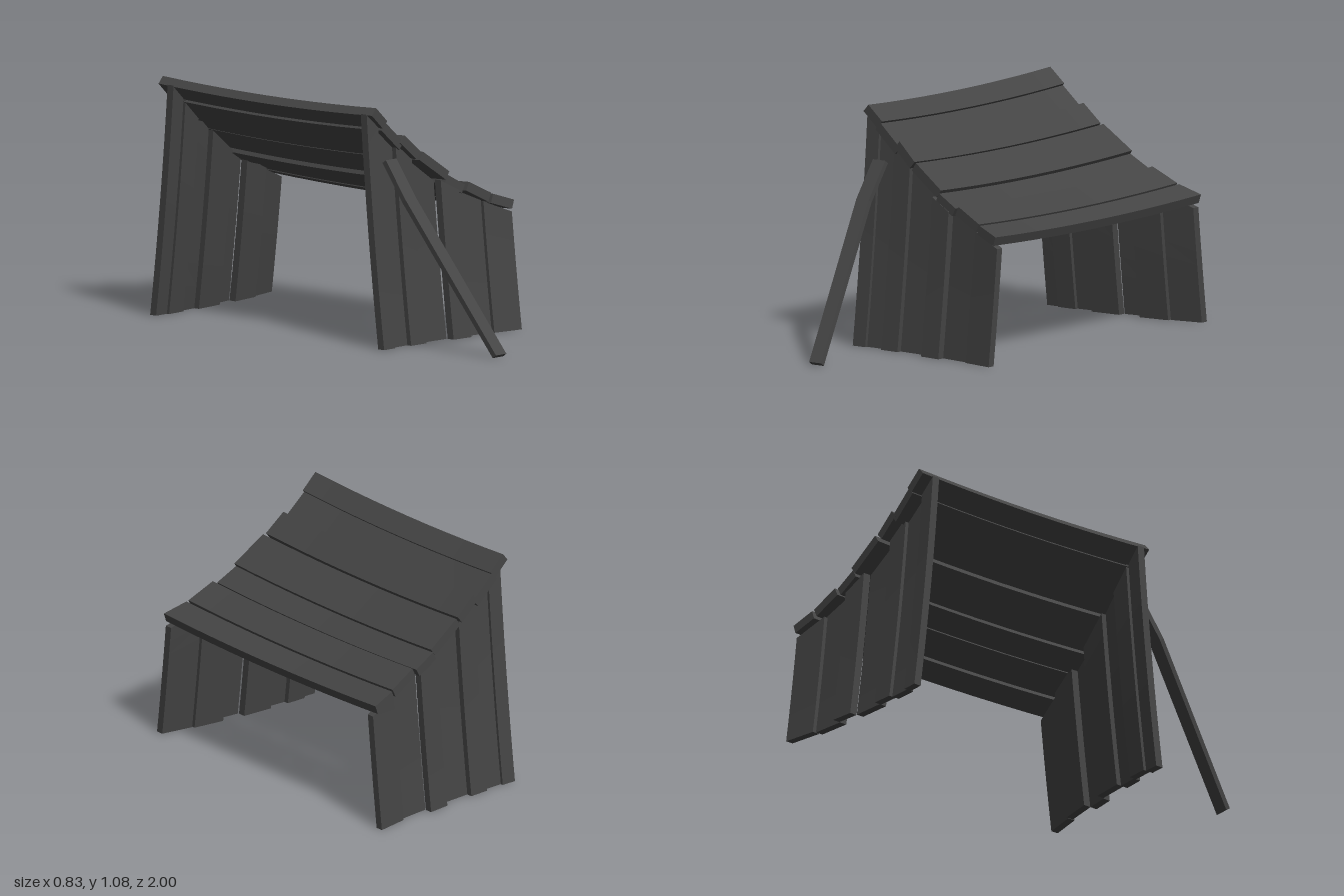
import * as THREE from 'three';

const wood = new THREE.MeshStandardMaterial({ color: 0x444444, flatShading: true });

// Closed plank from a row of four-cornered cross-sections
function plank(name, rings) {
  const tris = [];
  const quad = (a, b, c, d) => tris.push([a, b, c], [a, c, d]);
  for (let i = 0; i < rings.length - 1; i++) {
    for (let j = 0; j < 4; j++) {
      const k = (j + 1) % 4;
      quad(rings[i][j], rings[i][k], rings[i + 1][k], rings[i + 1][j]);
    }
  }
  const end = rings[rings.length - 1];
  quad(rings[0][3], rings[0][2], rings[0][1], rings[0][0]);
  quad(end[0], end[1], end[2], end[3]);
  // Turn the faces outward whichever way the sections run
  let volume = 0;
  for (const [a, b, c] of tris) volume += a.dot(b.clone().cross(c));
  const points = tris.flatMap(([a, b, c]) => (volume < 0 ? [a, c, b] : [a, b, c]));
  const geometry = new THREE.BufferGeometry().setFromPoints(points);
  geometry.computeVertexNormals();
  const mesh = new THREE.Mesh(geometry, wood);
  mesh.name = name;
  return mesh;
}

const V = (x, y, z) => new THREE.Vector3(x, y, z);
const steps = (n, fn) => Array.from({ length: n + 1 }, (_, i) => fn(i / n));

// Upright wall planks: x0, x1, top y at each side, foot z at the front (two sides), foot z at the back (two sides)
const WALL = [
  [-0.417, -0.346, 1.05, 0.985, 0.48, 0.48, 0.935, 0.935],
  [-0.346, -0.248, 0.98, 0.90, 0.465, 0.465, 0.922, 0.925],
  [-0.248, -0.152, 0.90, 0.82, 0.488, 0.492, 0.942, 0.948],
  [-0.152, -0.002, 0.815, 0.705, 0.468, 0.475, 0.92, 0.93],
  [0.002, 0.108, 0.71, 0.655, 0.515, 0.525, 0.965, 0.978],
  [0.108, 0.258, 0.655, 0.59, 0.49, 0.51, 0.938, 0.955],
  [0.262, 0.414, 0.585, 0.525, 0.522, 0.548, 0.97, 1.0],
];
const THICK = 0.036;
const lean = (y) => 0.13 * y - 0.028 * y * y; // flared at the foot

function wall(name, side) {
  const group = new THREE.Group();
  group.name = name;
  for (const [x0, x1, top0, top1, f0, f1, b0, b1] of WALL) {
    const [z0, z1] = side > 0 ? [f0, f1] : [b0, b1];
    group.add(plank('wallPlank', steps(8, (t) => {
      const y0 = t * top0, y1 = t * top1;
      const a = z0 - lean(y0), b = z1 - lean(y1);
      return [V(x0, y0, side * a), V(x1, y1, side * b),
        V(x1, y1, side * (b - THICK)), V(x0, y0, side * (a - THICK))];
    })));
  }
  return group;
}

// Roof planks: upper edge x, y, lower edge x, y (top face), front z and back z at both edges
const ROOF = [
  [-0.388, 1.08, -0.312, 1.012, 0.405, 0.402, -0.885, -0.89],
  [-0.322, 1.005, -0.208, 0.905, 0.402, 0.405, -0.89, -0.895],
  [-0.206, 0.935, -0.112, 0.853, 0.41, 0.42, -0.895, -0.9],
  [-0.100, 0.85, 0.055, 0.745, 0.425, 0.44, -0.905, -0.915],
  [0.045, 0.73, 0.146, 0.675, 0.44, 0.45, -0.915, -0.92],
  [0.168, 0.685, 0.297, 0.622, 0.455, 0.47, -0.92, -0.935],
  [0.304, 0.617, 0.415, 0.58, 0.475, 0.50, -0.94, -0.957],
];

function roof() {
  const group = new THREE.Group();
  group.name = 'roof';
  for (const [x0, y0, x1, y1, f0, f1, b0, b1] of ROOF) {
    const length = Math.hypot(x1 - x0, y1 - y0);
    const dx = ((y1 - y0) / length) * 0.042, dy = (-(x1 - x0) / length) * 0.042;
    group.add(plank('roofPlank', steps(10, (t) => {
      const sag = -0.017 * (1 - (2 * t - 1) ** 2);
      const za = f0 + (b0 - f0) * t, zb = f1 + (b1 - f1) * t;
      return [V(x0, y0 + sag, za), V(x1, y1 + sag, zb),
        V(Math.min(x1 + dx, 0.415), y1 + dy + sag, zb), V(x0 + dx, y0 + dy + sag, za)];
    })));
  }
  return group;
}

// Kinked prop leaning against the front wall: left x, y, z, width
const PROP = [
  [-0.346, 0.828, 0.405, 0.07],
  [-0.346, 0.665, 0.522, 0.07],
  [-0.247, 0.0, 0.98, 0.068],
];

function prop() {
  return plank('prop', PROP.map(([x, y, z, w]) => [
    V(x, y, z), V(x + w, y, z),
    V(x + w, y + 0.014, z + 0.02), V(x, y + 0.014, z + 0.02),
  ]));
}

export function createModel() {
  const model = new THREE.Group();
  model.name = 'leanToShelter';
  model.add(wall('frontWall', 1), wall('backWall', -1), roof(), prop());
  return model;
}
